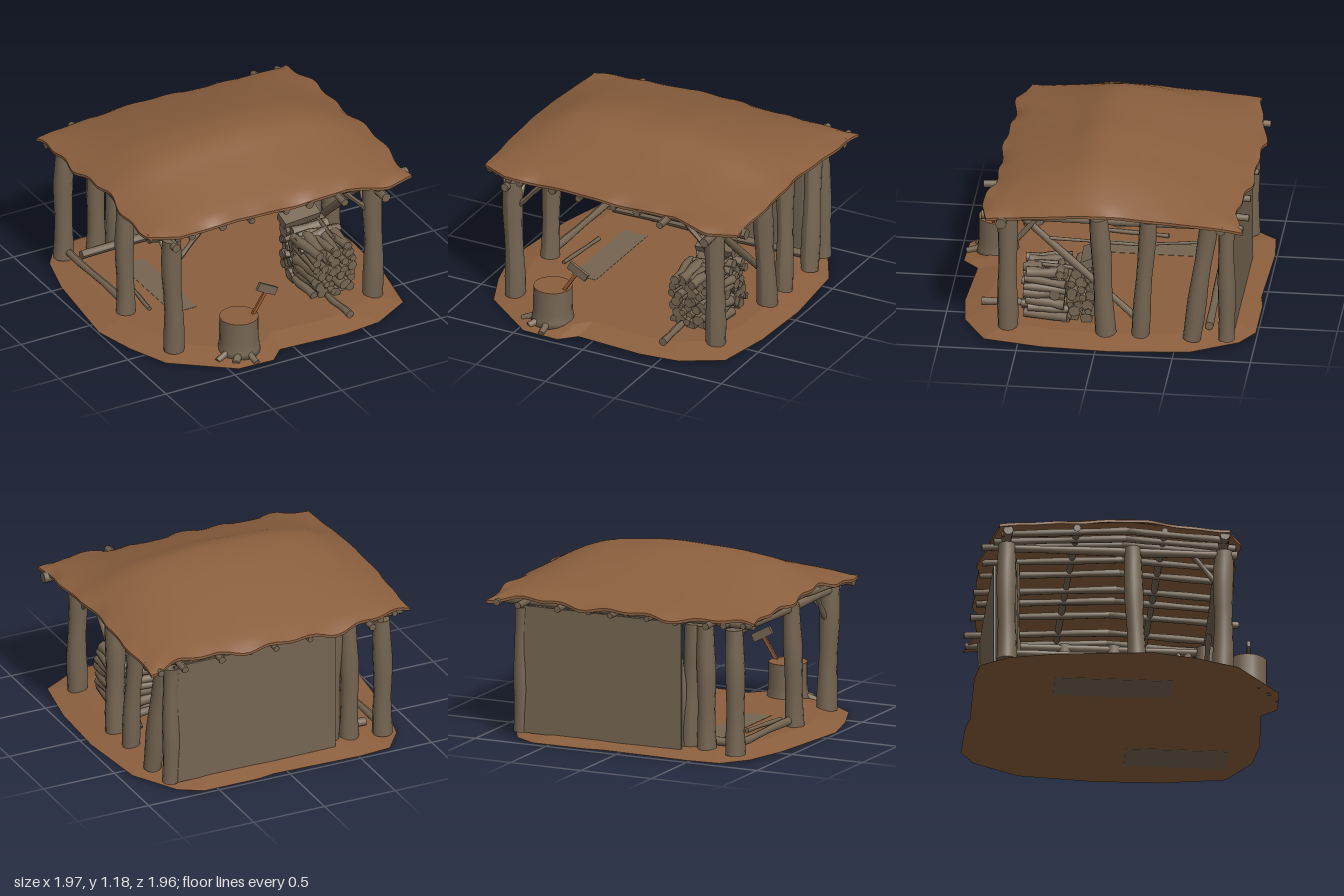
import * as THREE from 'three';

const mat = (name, color) => {
  const m = new THREE.MeshStandardMaterial({ color });
  m.name = name;
  return m;
};

// Piecewise linear lookup in [position, value] pairs
function table(rows, t) {
  if (t <= rows[0][0]) return rows[0][1];
  for (let i = 1; i < rows.length; i++) {
    const [a, va] = rows[i - 1], [b, vb] = rows[i];
    if (t <= b) return va + (vb - va) * (t - a) / (b - a);
  }
  return rows[rows.length - 1][1];
}

// The same lookup with rounded corners
function softTable(rows, t) {
  let sum = 0;
  for (let k = -4; k <= 4; k++) sum += table(rows, t + k * 0.022);
  return sum / 9;
}

function seeded(seed) {
  return () => {
    seed = (seed * 16807) % 2147483647;
    return seed / 2147483647;
  };
}

const RIDGE_X = [[-0.95, 0.2], [-0.8, 0.42], [-0.62, 0.78], [-0.35, 0.94], [0.13, 1.02], [0.4, 0.9], [0.55, 0.84], [0.7, 0.65], [0.85, 0.36], [0.97, 0.16]];
const SLOPE_Z = [[-0.95, 0], [-0.8, 0.2], [-0.5, 0.6], [-0.17, 0.96], [0.07, 1.04], [0.2, 0.78], [0.45, 0.4], [0.72, 0]];
const FRONT_Z = [[-0.92, 0.6], [-0.72, 0.69], [-0.3, 0.68], [0.1, 0.7], [0.5, 0.68], [0.75, 0.76], [0.95, 0.7]];
const BACK_Z = [[-0.92, -0.86], [-0.55, -0.91], [-0.3, -0.95], [0.1, -0.94], [0.4, -0.91], [0.75, -0.89], [0.96, -0.93]];

export function createModel() {
  const root = new THREE.Group();
  root.name = 'woodShelter';
  const wood = mat('weathered wood', 0x756552);
  const earth = mat('brown earth', 0x8b5f3e);
  const thatch = mat('brown roof cover', 0x8b5f3e);
  const handleWood = mat('handle wood', 0x93592f);
  const rand = seeded(77);

  const add = (geo, material, name, parent = root) => {
    const m = new THREE.Mesh(geo, material);
    m.name = name;
    parent.add(m);
    return m;
  };
  const group = (name) => {
    const g = new THREE.Group();
    g.name = name;
    root.add(g);
    return g;
  };

  // Slightly crooked log between two points; flat squashes it in depth
  function log(name, a, b, r, { parent = root, wobble = 0.12, taper = 0.92, sides = 10, flat = 1, segs = 5 } = {}) {
    const A = new THREE.Vector3(...a), B = new THREE.Vector3(...b);
    const len = A.distanceTo(B);
    const geo = new THREE.CylinderGeometry(r * taper, r, len, sides, segs);
    const p = geo.attributes.position, ph = rand() * 6.28;
    for (let i = 0; i < p.count; i++) {
      const t = p.getY(i) / len + 0.5;
      const bend = Math.sin(Math.PI * t) * Math.sin(t * 5 + ph) * r * wobble * 1.5;
      const s = 1 + wobble * Math.sin(t * 9 + ph);
      p.setX(i, p.getX(i) * s + bend);
      p.setZ(i, (p.getZ(i) * s + bend * 0.6) * flat);
    }
    geo.computeVertexNormals();
    const m = add(geo, wood, name, parent);
    m.position.copy(A).add(B).multiplyScalar(0.5);
    m.quaternion.setFromUnitVectors(new THREE.Vector3(0, 1, 0), B.sub(A).normalize());
    return m;
  }

  // Ground mound
  const outline = [[-0.72, -0.97], [-0.5, -0.99], [0.1, -0.97], [0.22, -0.99], [0.6, -0.99], [0.75, -0.9], [0.92, -0.6],
    [0.97, -0.1], [0.95, 0.35], [0.88, 0.72], [0.62, 0.87], [0.36, 0.9], [-0.1, 0.87], [-0.2, 0.97], [-0.45, 0.96],
    [-0.82, 0.67], [-0.93, 0.4], [-1, 0.12], [-0.93, -0.5], [-0.85, -0.8]];
  const n = outline.length, verts = [], idx = [];
  for (const [s, y] of [[0, 0.002], [1, 0.002], [1, 0.004], [0.82, 0.046], [0, 0.046]])
    for (const [x, z] of outline) verts.push(x * s, y, z * s);
  for (let k = 0; k < 4; k++)
    for (let i = 0; i < n; i++) {
      const j = (i + 1) % n, a = k * n + i, b = k * n + j, c = a + n, d = b + n;
      idx.push(a, d, b, a, c, d);
    }
  let ground = new THREE.BufferGeometry();
  ground.setAttribute('position', new THREE.Float32BufferAttribute(verts, 3));
  ground.setIndex(idx);
  ground = ground.toNonIndexed();
  ground.computeVertexNormals();
  add(ground, earth, 'ground');

  // Worn boards on the floor and under it
  for (const [x, z, w, d, y] of [[-0.42, -0.15, 0.17, 0.7, 0.046], [-0.45, -0.1, 0.26, 0.75, 0.002], [0.58, 0.38, 0.26, 0.65, 0.002]])
    add(new THREE.BoxGeometry(w, 0.004, d), wood, 'floorBoard').position.set(x, y, z);

  // Roof: a thin shell shaped into a soft, ragged hipped mound
  const roof = new THREE.BoxGeometry(1, 1, 1, 40, 1, 40);
  const rp = roof.attributes.position;
  for (let i = 0; i < rp.count; i++) {
    const u = rp.getX(i) + 0.5, v = rp.getZ(i) + 0.5, top = rp.getY(i) > 0;
    const eu = Math.pow(Math.abs(2 * u - 1), 14), ev = Math.pow(Math.abs(2 * v - 1), 14);
    const baseX = -0.915 + 1.87 * u;
    const ragX = Math.sin(v * 31 + u * 2) * 0.009 + Math.sin(v * 13 + u * 5) * 0.011;
    const ragZ = Math.sin(u * 37 + v * 3) * 0.008 + Math.sin(u * 17 + v) * 0.009;
    const x = baseX + ragX * eu;
    const z = THREE.MathUtils.lerp(table(BACK_Z, baseX), table(FRONT_Z, baseX), v) + ragZ * ev;
    const edge = Math.max(eu, ev);
    const y = 0.922 + 0.242 * softTable(RIDGE_X, x) * softTable(SLOPE_Z, z) + edge * (ragZ * ev + ragX * eu * 0.6 - 0.022);
    rp.setXYZ(i, x, top ? y : y - 0.028 + 0.01 * edge, z);
  }
  roof.computeVertexNormals();
  add(roof, thatch, 'roofCover');

  // Posts: [bottom x, bottom z, top x, top z, radius]
  const posts = group('posts');
  for (const [x0, z0, x1, z1, r] of [
    [0.735, 0.58, 0.73, 0.585, 0.064], [-0.71, 0.58, -0.73, 0.585, 0.064],
    [0.77, -0.05, 0.76, 0, 0.064], [-0.755, 0.03, -0.745, 0, 0.06],
    [0.77, -0.27, 0.76, -0.32, 0.056], [0.78, -0.6, 0.75, -0.71, 0.06],
    [0.76, -0.82, 0.75, -0.82, 0.055], [-0.75, -0.8, -0.74, -0.8, 0.062],
    [-0.53, -0.77, -0.52, -0.77, 0.06], [-0.4, -0.75, -0.43, -0.75, 0.06]])
    log('post', [x0, 0.03, z0], [x1, 0.845, z1], r, { parent: posts, wobble: 0.07, taper: 0.95, sides: 12, segs: 6 });

  // Back wall: wavy split slabs in front of a flat backing
  const wall = group('backWall');
  add(new THREE.BoxGeometry(1.14, 0.83, 0.015), wood, 'wallBacking', wall).position.set(0.18, 0.445, -0.85);
  for (const [x0, x1, r] of [[-0.28, -0.28, 0.11], [-0.12, -0.11, 0.13], [0.08, 0.1, 0.12], [0.26, 0.28, 0.1], [0.44, 0.47, 0.11], [0.63, 0.62, 0.1]])
    log('wallSlab', [x0, 0.04, -0.805], [x1, 0.86, -0.805], r, { parent: wall, wobble: 0.1, flat: 0.33, sides: 14, segs: 8 });

  // Roof frame: long beams, side plates and rafters
  const frame = group('roofFrame');
  log('frontBeam', [-0.9, 0.89, 0.58], [0.97, 0.872, 0.6], 0.036, { parent: frame });
  log('backBeam', [-0.88, 0.885, -0.8], [0.93, 0.88, -0.8], 0.034, { parent: frame });
  for (const s of [-1, 1]) {
    log('sidePlate', [s * 0.74, 0.82, s > 0 ? 0.75 : 0.67], [s * 0.74, 0.82, -0.83], 0.028, { parent: frame });
    log('purlin', [-0.86, 0.925, s * 0.28 - 0.08], [0.88, 0.92, s * 0.28 - 0.08], 0.022, { parent: frame });
    log('kneeBrace', [s * 0.68, 0.68, 0.58], [s * 0.51, 0.86, 0.59], 0.018, { parent: frame });
    log('sideKneeBrace', [s * 0.72, 0.64, 0.53], [s * 0.73, 0.8, 0.4], 0.018, { parent: frame });
  }
  for (const [x, zf, zb] of [[-0.84, 0.6, -0.84], [-0.72, 0.66, -0.88], [-0.63, 0.68, -0.95], [-0.4, 0.67, -0.93], [-0.2, 0.69, -0.93],
    [0.05, 0.69, -0.95], [0.22, 0.69, -0.92], [0.43, 0.77, -0.94], [0.7, 0.72, -0.96], [0.86, 0.66, -0.94]]) {
    log('rafter', [x, 0.88, zf], [x, 0.925, -0.06], 0.024, { parent: frame, sides: 8 });
    log('rafter', [x, 0.925, -0.04], [x + 0.02, 0.88, zb], 0.024, { parent: frame, sides: 8 });
  }

  // Braces and rails
  log('diagonalBrace', [0.69, 0.78, 0.48], [0.69, 0.12, -0.23], 0.025);
  log('thinRail', [0.69, 0.65, 0.32], [0.69, 0.635, -0.25], 0.011);
  log('thinRail', [0.69, 0.635, -0.24], [0.69, 0.675, -0.66], 0.01);
  log('backSill', [-0.68, 0.075, -0.69], [0.68, 0.075, -0.7], 0.03);
  log('sideSill', [-0.74, 0.085, 0.02], [-0.74, 0.085, -0.76], 0.025);
  log('loosePole', [-0.62, 0.06, 0.1], [-0.58, 0.06, -0.3], 0.014);

  // Firewood: front half stacked lengthwise, back half crosswise
  const pile = group('firewoodPile');
  for (let row = 0; row < 7; row++) {
    const y = 0.075 + row * 0.048;
    for (let i = 0; i < 6; i++) {
      const r = 0.023 + rand() * 0.017, j = () => (rand() - 0.5) * 0.05;
      const x = 0.375 + i * 0.052 + (row % 2) * 0.012;
      log('firewood', [x + j(), y + j() * 0.6, 0.22 + j()], [x + j(), y + j() * 0.6, 0.49 + j()], r, { parent: pile, sides: 8, segs: 3 });
      const z = 0.03 + i * 0.046 + (row % 2) * 0.02;
      log('firewood', [0.37 + j(), y + j() * 0.6, z + j()], [0.65 + j(), y + j() * 0.6, z + j()], r, { parent: pile, sides: 8, segs: 3 });
    }
  }
  const slab = add(new THREE.BoxGeometry(0.26, 0.055, 0.1), wood, 'topSlab', pile);
  slab.position.set(0.475, 0.43, 0.08);
  slab.rotation.set(0.4, 0.05, 0.03);
  log('topStick', [0.56, 0.395, 0.38], [0.6, 0.395, 0.06], 0.014, { parent: pile });
  log('looseLog', [0.46, 0.06, 0.78], [0.45, 0.065, 0.5], 0.024);

  // Chopping stump with flared foot and chips
  const stump = group('choppingStump');
  const profile = [[0, 0.01], [0.145, 0.01], [0.133, 0.05], [0.126, 0.11], [0.125, 0.262]].map(([r, y]) => new THREE.Vector2(r, y));
  add(new THREE.LatheGeometry(profile, 18), wood, 'stumpBody', stump);
  const cap = add(new THREE.CylinderGeometry(0.125, 0.125, 0.005, 18), earth, 'stumpTop', stump);
  cap.position.y = 0.264;
  stump.position.set(-0.34, 0, 0.765);
  for (const [x, z, r] of [[-0.19, 0.06, 0.03], [0.02, 0.2, 0.03], [-0.1, 0.14, 0.035]])
    log('root', [x * 0.4, 0.05, z * 0.4], [x, 0.015, z], r, { parent: stump, taper: 0.6, segs: 2 });

  // Mallet stuck in the stump
  const mallet = group('mallet');
  const handle = add(new THREE.BoxGeometry(0.022, 0.22, 0.016), handleWood, 'malletHandle', mallet);
  handle.position.y = 0.09;
  const head = add(new THREE.BoxGeometry(0.145, 0.055, 0.022), wood, 'malletHead', mallet);
  head.position.y = 0.19;
  head.rotation.z = 0.08;
  mallet.position.set(-0.25, 0.26, 0.785);
  mallet.rotation.z = -0.57;

  return root;
}
